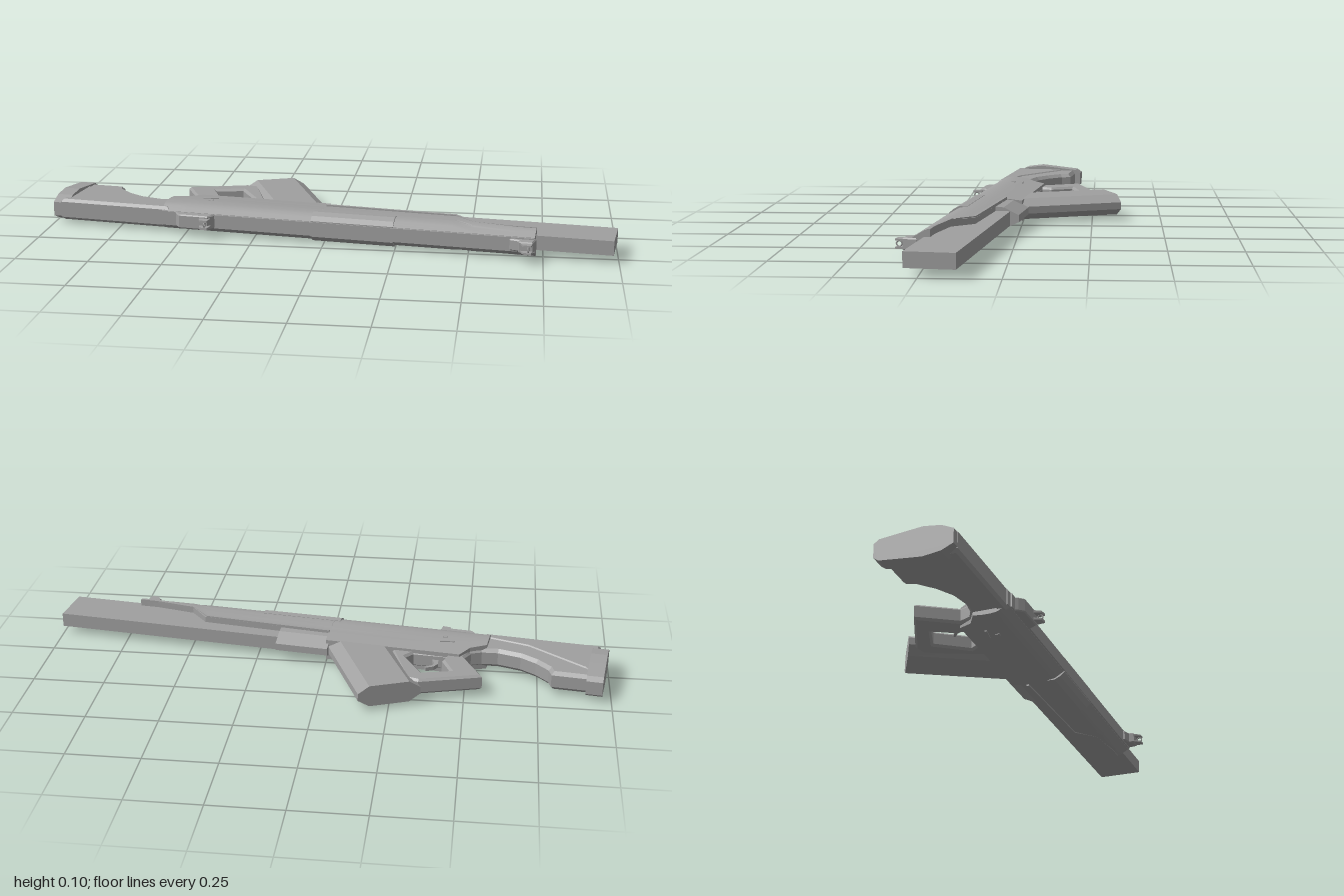
import * as THREE from 'three';
import { toCreasedNormals } from 'three/addons/utils/BufferGeometryUtils.js';

// Local frame: u runs along the barrel (x), v across the rifle (z), h is the thickness (y).
const grey = new THREE.MeshStandardMaterial({ color: 0xa0a0a0 });
grey.name = 'plain grey';

export function createModel() {
  const rifle = new THREE.Group();
  rifle.name = 'rifle';
  const axis = new THREE.Group();
  axis.name = 'rifleParts';
  axis.rotation.y = -0.127;
  axis.position.y = 0.053;
  rifle.add(axis);

  const add = (name, geometry) => {
    const mesh = new THREE.Mesh(geometry, grey);
    mesh.name = name;
    axis.add(mesh);
    return mesh;
  };
  const toShape = pts => new THREE.Shape(pts.map(p => new THREE.Vector2(p[0], p[1])));

  // Flat part: outline in (u, v), chamfered on both faces
  function plate(name, outline, half, bevel = 0, hole = null, y = 0) {
    const shape = toShape(outline);
    if (hole) shape.holes.push(new THREE.Path(hole.map(p => new THREE.Vector2(p[0], p[1]))));
    const geo = new THREE.ExtrudeGeometry(shape, {
      depth: 2 * (half - bevel), bevelEnabled: bevel > 0, bevelThickness: bevel,
      bevelSize: bevel, bevelOffset: -bevel, bevelSegments: 1, curveSegments: 6,
    });
    geo.translate(0, 0, -(half - bevel));
    geo.rotateX(Math.PI / 2);
    geo.translate(0, y, 0);
    return add(name, geo);
  }

  // Long part: mirrored section in (v, h), run from u0 to u1
  function bar(name, section, u0, u1) {
    const pts = [...section, ...section.slice().reverse().map(([v, h]) => [v, -h])];
    const geo = new THREE.ExtrudeGeometry(toShape(pts.map(([v, h]) => [-v, h])),
      { depth: u1 - u0, bevelEnabled: false });
    geo.translate(0, 0, u0);
    geo.rotateY(Math.PI / 2);
    return add(name, geo);
  }

  // Skin over matching convex rings of [x, y, z], with end caps
  function loft(name, rings, crease) {
    const n = rings[0].length, tris = [];
    for (let r = 0; r < rings.length - 1; r++) {
      for (let i = 0; i < n; i++) {
        const j = (i + 1) % n, a = rings[r], b = rings[r + 1];
        tris.push([a[i], a[j], b[j]], [a[i], b[j], b[i]]);
      }
    }
    const first = rings[0], last = rings[rings.length - 1];
    for (let i = 1; i < n - 1; i++) {
      tris.push([first[0], first[i + 1], first[i]], [last[0], last[i], last[i + 1]]);
    }
    // Turn the faces outward by the sign of the enclosed volume
    let volume = 0;
    for (const [a, b, c] of tris) {
      volume += new THREE.Vector3(...a).dot(new THREE.Vector3(...b).cross(new THREE.Vector3(...c)));
    }
    if (volume < 0) tris.forEach(t => t.reverse());
    const geo = new THREE.BufferGeometry();
    geo.setAttribute('position', new THREE.Float32BufferAttribute(tris.flat(2), 3));
    return add(name, toCreasedNormals(geo, crease));
  }

  // Receiver and handguard: one rounded section trimmed by a changing lower edge
  const widths = [[0, 0.037], [0.06, 0.044], [0.11, 0.0495], [0.14, 0.05], [0.165, 0.047], [0.2, 0.026]];
  const widthAt = v => {
    for (let i = 1; i < widths.length; i++) {
      const [v0, h0] = widths[i - 1], [v1, h1] = widths[i];
      if (v <= v1) return h0 + (h1 - h0) * (v - v0) / (v1 - v0);
    }
    return 0.026;
  };
  const bodyRing = (u, vMin) => {
    const side = [];
    for (let i = 0; i <= 12; i++) {
      const v = vMin + (0.2 - vMin) * i / 12;
      side.push([u, widthAt(v), v]);
    }
    return [...side, ...side.slice().reverse().map(([x, y, z]) => [x, -y, z])];
  };
  loft('receiverAndHandguard', [
    [-0.565, 0.08], [-0.51, 0.05], [-0.48, 0], [0, 0], [0.003, 0.053],
    [0.472, 0.066], [0.541, 0.132], [0.685, 0.149], [0.752, 0.148],
  ].map(([u, v]) => bodyRing(u, v)), 0.5);

  // Raised edge along the handguard
  for (const s of [-1, 1]) {
    const path = [[0.0, 0.063], [0.465, 0.076], [0.535, 0.14], [0.685, 0.158], [0.75, 0.158]];
    const edge = [...path, ...path.slice().reverse().map(([u, v]) => [u, v - 0.01])];
    plate('handguardEdge', edge, 0.004, 0, null, s * 0.046);
  }
  bar('sidePanel', [[0.14, 0.051], [0.165, 0.052], [0.186, 0.042], [0.203, 0.028]], -0.02, 0.27);
  bar('topRail', [[0.19, 0.026], [0.205, 0.024]], -0.54, 0.75);

  // Barrel block and the chamfered block under it
  bar('barrelBlock', [[0.007, 0.025], [0.168, 0.025]], -0.05, 1.01);
  bar('lowerBlock', [[-0.023, 0.0125], [0.03, 0.038], [0.08, 0.042]], -0.01, 0.18);

  // Magazine with chamfered front and back edges
  const magRing = (l, r) => [[0, 0.0125], [0.18, 0.0375], [0.82, 0.0375], [1, 0.0125],
    [1, -0.0125], [0.82, -0.0375], [0.18, -0.0375], [0, -0.0125]]
    .map(([t, h]) => [l[0] + (r[0] - l[0]) * t, h, l[1] + (r[1] - l[1]) * t]);
  loft('magazine', [magRing([-0.387, -0.228], [-0.194, -0.333]), magRing([-0.235, 0.04], [0.003, 0.022])], 0.3);

  // Grip with the guard opening, and the trigger inside it
  plate('gripAndGuard', [
    [-0.58, -0.122], [-0.375, -0.209], [-0.33, -0.2], [-0.22, 0.05], [-0.52, 0.06], [-0.498, 0.008],
  ], 0.028, 0.008, [
    [-0.468, -0.11], [-0.375, -0.143], [-0.297, -0.035], [-0.319, -0.003], [-0.434, -0.001], [-0.426, -0.036],
  ]);
  plate('trigger', [
    [-0.405, 0.01], [-0.412, -0.03], [-0.40, -0.055], [-0.375, -0.07], [-0.37, -0.064],
    [-0.392, -0.046], [-0.398, -0.03], [-0.38, 0.01],
  ], 0.007);

  // Stock, its thicker upper half and the butt plate
  plate('stock', [
    [-0.955, -0.053], [-0.808, -0.053], [-0.794, -0.019], [-0.745, 0.024], [-0.688, 0.056],
    [-0.606, 0.073], [-0.55, 0.065], [-0.5, 0.04], [-0.5, 0.195], [-0.955, 0.192],
  ], 0.034, 0.012);
  plate('stockCheek', [
    [-0.955, -0.035], [-0.913, 0], [-0.703, 0.125], [-0.54, 0.16], [-0.54, 0.197], [-0.955, 0.192],
  ], 0.038, 0.01);
  bar('buttPlate', [
    [-0.073, 0.024], [-0.055, 0.037], [0.03, 0.046], [0.09, 0.052], [0.15, 0.044], [0.191, 0.025],
  ], -0.984, -0.927);

  // Rear sight: base, step and two ears
  plate('rearSightBase', [
    [-0.52, 0.19], [-0.505, 0.215], [-0.49, 0.232], [-0.385, 0.234], [-0.36, 0.19],
  ], 0.025, 0.004);
  // Front sight: base and two ears holding a ring
  plate('frontSightBase', [
    [0.665, 0.19], [0.67, 0.212], [0.7, 0.22], [0.705, 0.238], [0.75, 0.238], [0.757, 0.19],
  ], 0.02, 0.004);
  for (const s of [-1, 1]) {
    plate('rearSightEar', [[-0.42, 0.225], [-0.405, 0.257], [-0.378, 0.26], [-0.375, 0.225]], 0.004, 0, null, s * 0.013);
    plate('frontSightEar', [[0.705, 0.23], [0.722, 0.26], [0.748, 0.262], [0.75, 0.23]], 0.003, 0, null, s * 0.013);
  }
  for (const [name, u, v] of [['rearSightRing', -0.39, 0.248], ['frontSightRing', 0.738, 0.251]]) {
    const ring = new THREE.TorusGeometry(0.009, 0.0025, 6, 16);
    ring.rotateY(Math.PI / 2);
    ring.translate(u, 0, v);
    add(name, ring);
  }

  // Small bolt handle and selector on each side of the receiver
  for (const s of [-1, 1]) {
    plate('selector', [[-0.45, 0.075], [-0.4, 0.068], [-0.398, 0.074], [-0.45, 0.083]], 0.003, 0, null, s * 0.046);
    plate('receiverPin', [[-0.42, 0.1], [-0.405, 0.1], [-0.405, 0.115], [-0.42, 0.115]], 0.003, 0, null, s * 0.048);
  }
  return rifle;
}
